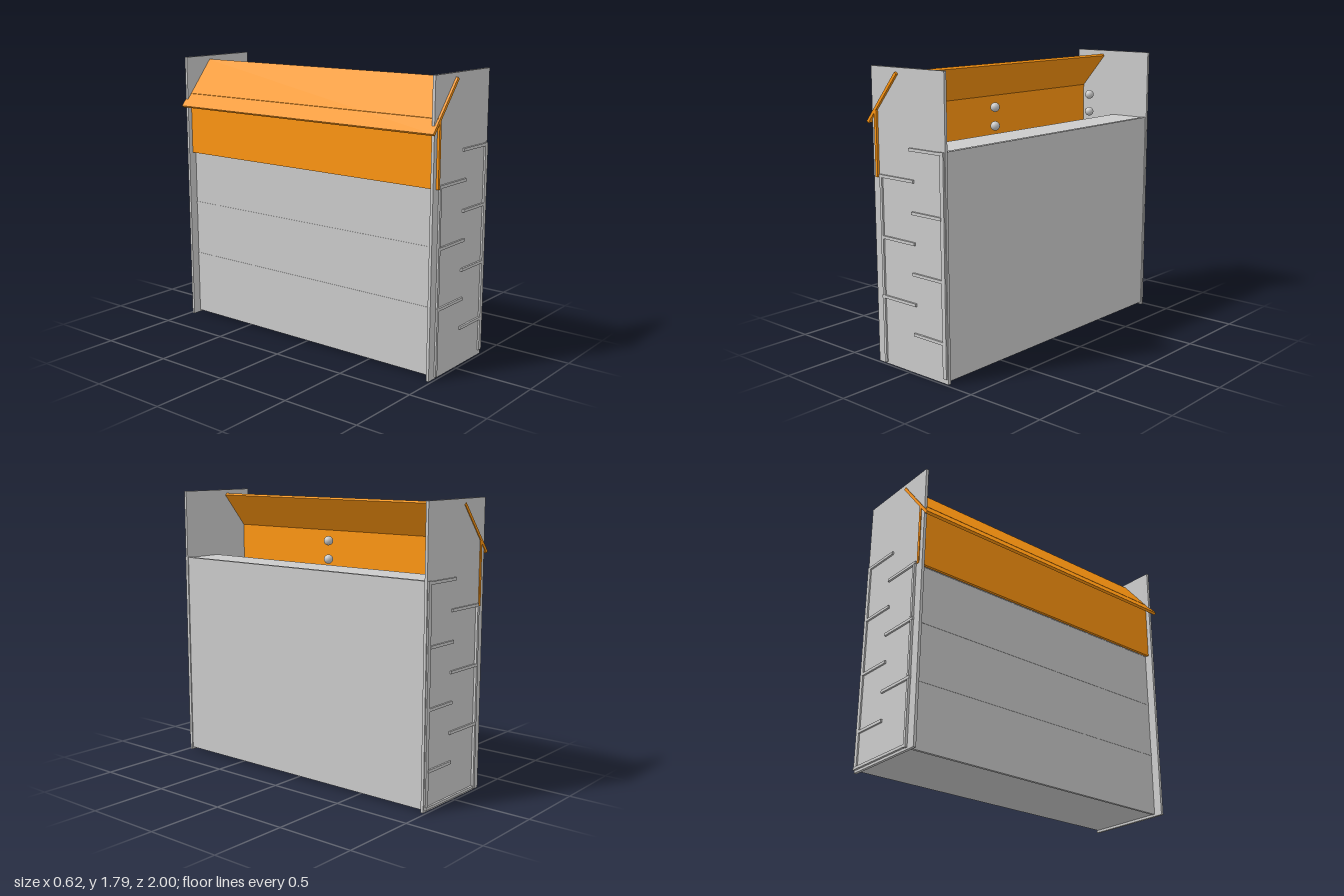
import * as THREE from 'three';

export function createModel() {
  const model = new THREE.Group();
  const grey = new THREE.MeshStandardMaterial({ color: 0xcccccc });
  const orange = new THREE.MeshStandardMaterial({ color: 0xff9610 });

  // Box given by its min and max on each axis
  const board = (name, [x0, x1], [y0, y1], [z0, z1], material = grey) => {
    const mesh = new THREE.Mesh(new THREE.BoxGeometry(x1 - x0, y1 - y0, z1 - z0), material);
    mesh.position.set((x0 + x1) / 2, (y0 + y1) / 2, (z0 + z1) / 2);
    mesh.name = name;
    model.add(mesh);
    return mesh;
  };

  // End plates, pierced by the long boards
  board('frontEndPlate', [-0.28, 0.31], [0, 1.79], [0.967, 0.985]);
  board('backEndPlate', [-0.28, 0.31], [0, 1.79], [-0.985, -0.967]);

  // Floor and tall wall
  board('floor', [-0.205, 0.302], [0.015, 0.032], [-0.998, 0.984]);
  board('tallWall', [0.275, 0.303], [0.032, 1.347], [-0.994, 0.996]);

  // Low wall, stacked in three panels between the shelves
  const lowShelves = [0.425, 0.79, 1.155];
  let base = 0.012;
  for (const y of lowShelves) {
    board('lowWallPanel', [-0.222, -0.204], [base, y - 0.009], [-1, 0.996]);
    base = y + 0.009;
  }

  // Staggered shelves from both walls
  lowShelves.forEach((y, i) =>
    board('lowWallShelf', [-0.224, 0.06], [y - 0.009, y + 0.009], [-0.996, 0.997]));
  [0.243, 0.608, 0.97, 1.336].forEach((y, i) =>
    board('tallWallShelf', [i === 3 ? 0.03 : 0.042, 0.28], [y - 0.009, y + 0.009], [-0.996, 0.997]));

  // Orange upright and sloping roof
  board('uprightPanel', [-0.25, -0.232], [1.145, 1.548], [-0.99, 1], orange);
  const roof = board('roof', [-0.193, 0.193], [-0.009, 0.009], [-0.99, 1], orange);
  roof.position.set(-0.184, 1.611, 0.005);
  roof.rotation.z = Math.atan2(0.3, 0.25);

  // Two columns of falling balls, each with one resting on the top low shelf
  const ballGeometry = new THREE.SphereGeometry(0.03, 24, 16);
  for (const z of [0.095, -0.9]) {
    for (const [x, y] of [[-0.13, 1.48], [-0.13, 1.36], [-0.13, 1.24], [0.035, 1.194]]) {
      const ball = new THREE.Mesh(ballGeometry, grey);
      ball.position.set(x, y, z);
      ball.name = 'ball';
      model.add(ball);
    }
  }
  return model;
}
